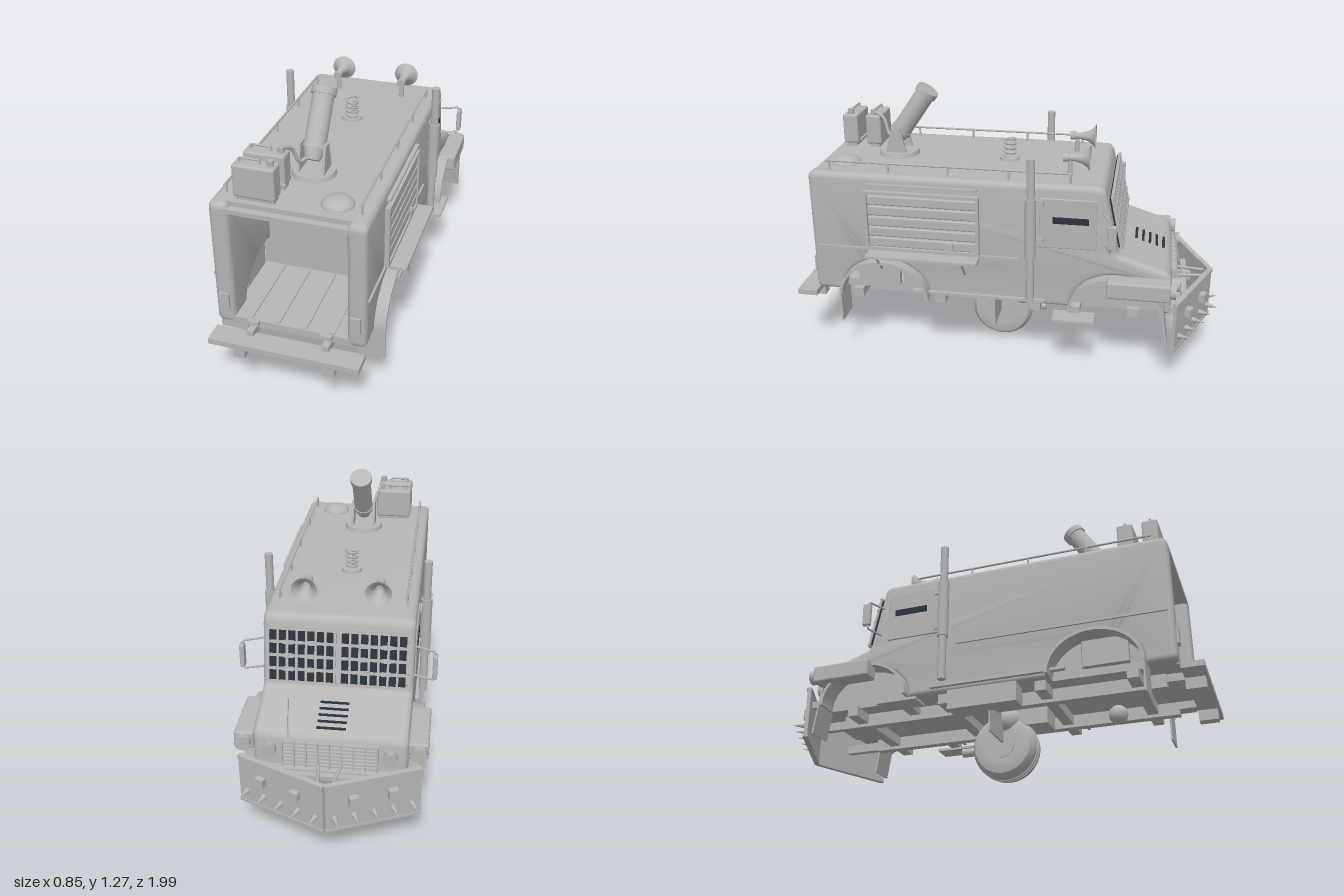
import * as THREE from 'three';
import { toCreasedNormals } from 'three/addons/utils/BufferGeometryUtils.js';
import { RoundedBoxGeometry } from 'three/addons/geometries/RoundedBoxGeometry.js';

export function createModel() {
  const root = new THREE.Group();
  const mat = (name, color) => Object.assign(new THREE.MeshStandardMaterial({ color }), { name });
  const grey = mat('greyPaint', 0xb5b5b5);
  const dark = mat('darkGlass', 0x2c333c);
  const open = mat('greySheet', 0xb5b5b5);
  open.side = THREE.DoubleSide;

  const add = (name, geo, m = grey, x = 0, y = 0, z = 0, parent = root) => {
    const mesh = new THREE.Mesh(geo, m);
    mesh.name = name;
    mesh.position.set(x, y, z);
    parent.add(mesh);
    return mesh;
  };
  // box given by its limits on each axis
  const box = (name, x0, x1, y0, y1, z0, z1, m = grey, r = 0, parent = root) => {
    const d = [Math.abs(x1 - x0), Math.abs(y1 - y0), Math.abs(z1 - z0)];
    const geo = r ? new RoundedBoxGeometry(...d, 2, r) : new THREE.BoxGeometry(...d);
    return add(name, geo, m, (x0 + x1) / 2, (y0 + y1) / 2, (z0 + z1) / 2, parent);
  };
  const cyl = (name, r0, r1, h, x, y, z, n = 20, parent = root) =>
    add(name, new THREE.CylinderGeometry(r0, r1, h, n), grey, x, y, z, parent);
  const rod = (name, pts, r = 0.006) => {
    const path = new THREE.CurvePath();
    const v = pts.map(p => new THREE.Vector3(...p));
    for (let i = 1; i < v.length; i++) path.add(new THREE.LineCurve3(v[i - 1], v[i]));
    return add(name, new THREE.TubeGeometry(path, (v.length - 1) * 6, r, 8), open);
  };
  const both = fn => [-1, 1].forEach(fn);
  // side outline drawn in (z, y), extruded along x from x0 to x1
  const slab = (name, shape, x0, x1, bevel = 0) => {
    const geo = new THREE.ExtrudeGeometry(shape, {
      depth: x1 - x0 - 2 * bevel, bevelEnabled: bevel > 0, bevelSize: bevel,
      bevelThickness: bevel, bevelOffset: -bevel, bevelSegments: 4, curveSegments: 20 });
    geo.translate(0, 0, x0 + bevel).rotateY(-Math.PI / 2).scale(-1, 1, -1);
    geo.rotateY(Math.PI).scale(-1, 1, -1).rotateY(Math.PI);
    return add(name, toCreasedNormals(geo, 0.6));
  };

  // ---- body: two arched side slabs joined by a core, open box at +z
  const AR = 0.205, ARCHES = [0.553, -0.52];
  const outline = arched => {
    const s = new THREE.Shape();
    s.moveTo(0.865, 0.335);
    s.quadraticCurveTo(0.893, 0.335, 0.893, 0.365);
    s.lineTo(0.893, 0.89);
    s.quadraticCurveTo(0.893, 0.922, 0.86, 0.922);
    s.lineTo(-0.42, 0.922);
    s.quadraticCurveTo(-0.452, 0.922, -0.46, 0.885);
    s.lineTo(-0.515, 0.63);
    s.quadraticCurveTo(-0.52, 0.607, -0.545, 0.6);
    s.lineTo(-0.72, 0.543);
    s.quadraticCurveTo(-0.762, 0.53, -0.765, 0.49);
    s.lineTo(-0.77, 0.335);
    if (arched) for (const c of [...ARCHES].reverse()) {
      s.lineTo(c - AR, 0.335);
      s.absellipse(c, 0.335, AR, 0.17, Math.PI, 0, true);
    }
    return s;
  };
  slab('bodySideLeft', outline(true), 0.245, 0.327, 0.024);
  slab('bodySideRight', outline(true), -0.327, -0.245, 0.024);
  const core = new THREE.Shape(outline(false).getPoints(8).map(p => new THREE.Vector2(Math.min(p.x, 0.48), p.y)));
  slab('bodyCore', core, -0.272, 0.272);
  box('rearRoof', -0.272, 0.272, 0.88, 0.922, 0.48, 0.862);
  box('rearRoofLip', -0.272, 0.272, 0.88, 0.9, 0.86, 0.893);
  box('cargoFloor', -0.272, 0.272, 0.335, 0.37, 0.48, 0.888);
  for (let i = 0; i < 4; i++) box('floorSlat', -0.19 + i * 0.12, -0.17 + i * 0.12, 0.37, 0.376, 0.49, 0.88);

  // ---- chassis
  both(s => {
    box('chassisRail', s * 0.15, s * 0.19, 0.275, 0.335, -0.7, 0.82);
    box('sideStep', s * 0.3, s * 0.395, 0.29, 0.302, -0.43, -0.24);
    box('stepHanger', s * 0.19, s * 0.32, 0.3, 0.335, -0.36, -0.31);
    box('sill', s * 0.32, s * 0.345, 0.355, 0.368, -0.2, 0.42);
    box('bumperHanger', s * 0.17, s * 0.22, 0.24, 0.3, 0.9, 0.985);
    box('bumperArm', s * 0.15, s * 0.18, 0.3, 0.34, 0.8, 0.93);
  });
  for (const z of [-0.6, -0.15, 0.3, 0.7]) box('crossMember', -0.3, 0.3, 0.29, 0.335, z - 0.025, z + 0.025);
  box('rearBumper', -0.327, 0.327, 0.29, 0.316, 0.9, 0.995);
  box('storageBox', -0.325, -0.24, 0.25, 0.34, -0.12, 0.2);
  box('centreFlap', -0.25, 0.25, 0.157, 0.335, 0.046, 0.054);

  // ---- centre wheel with grooved tread, housing above it
  const tyre = [[0.05, -0.07], [0.1, -0.075], [0.13, -0.066], [0.146, -0.045], [0.15, -0.02], [0.142, -0.016],
    [0.142, -0.008], [0.15, -0.005], [0.15, 0.005], [0.142, 0.008], [0.142, 0.016], [0.15, 0.02],
    [0.146, 0.045], [0.13, 0.066], [0.1, 0.075], [0.05, 0.07]].map(p => new THREE.Vector2(...p));
  add('wheel', toCreasedNormals(new THREE.LatheGeometry(tyre, 40), 0.6), open, 0, 0.15, 0.045).rotation.z = Math.PI / 2;
  cyl('wheelHub', 0.06, 0.06, 0.15, 0, 0.15, 0.045).rotation.z = Math.PI / 2;
  add('driveHousing', new THREE.SphereGeometry(0.1, 24, 14), grey, 0, 0.27, 0.06).scale.set(1.05, 0.75, 0.8);
  add('driveKnob', new THREE.SphereGeometry(0.045, 16, 10), grey, 0.06, 0.24, -0.06);
  cyl('driveShaft', 0.02, 0.02, 0.14, 0, 0.155, -0.1).rotation.x = Math.PI / 2;
  box('driveMount', -0.06, 0.06, 0.235, 0.335, 0.1, 0.26);
  add('tankDome', new THREE.SphereGeometry(0.045, 16, 10), grey, 0.1, 0.29, 0.55);

  // ---- arch flares and mud flaps
  both(s => {
    for (const c of ARCHES) {
      const sh = new THREE.Shape();
      sh.absellipse(0, 0, 0.214, 0.179, 0, Math.PI, false);
      sh.absellipse(0, 0, 0.2, 0.165, Math.PI, 0, true);
      const geo = new THREE.ExtrudeGeometry(sh, { depth: 0.06, bevelEnabled: false, curveSegments: 20 });
      geo.translate(0, 0, -0.03).rotateY(Math.PI / 2);
      add('archFlare', toCreasedNormals(geo, 0.6), grey, s * 0.345, 0.335, c);
    }
    box('rearMudFlap', s * 0.25, s * 0.375, 0.195, 0.34, 0.757, 0.765);
    box('frontMudFlap', s * 0.25, s * 0.375, 0.2, 0.42, -0.745, -0.737).rotation.x = 0.15;
    box('wellBox', s * 0.27, s * 0.3, 0.37, 0.49, 0.49, 0.69);
  });

  // ---- cab: windscreen with bars, louvres, grille, lamps
  const screen = new THREE.Group();
  screen.name = 'windscreen';
  screen.position.set(0, 0.752, -0.497);
  screen.rotation.set(0.22, Math.PI, 0, 'YXZ');
  screen.rotation.x = -0.215;
  root.add(screen);
  both(s => {
    box('glass', s * 0.012, s * 0.3, -0.115, 0.115, 0, 0.008, dark, 0, screen);
    for (let i = 0; i < 8; i++) {
      const x = s * (0.012 + i * 0.041);
      box('uprightBar', x - 0.005, x + 0.005, -0.122, 0.122, 0.008, 0.02, grey, 0, screen);
    }
    for (const x of [0.11, 0.21]) for (const y of [-0.06, 0, 0.06])
      box('armourTab', s * x - 0.02, s * x + 0.02, y - 0.008, y + 0.008, 0.008, 0.024, grey, 0, screen);
  });
  for (let i = 0; i < 5; i++) {
    const y = -0.12 + i * 0.06;
    box('crossBar', -0.306, 0.306, y - 0.005, y + 0.005, 0.008, 0.022, grey, 0, screen);
  }
  for (let i = 0; i < 5; i++) {
    const z = -0.595 - i * 0.032;
    box('hoodLouvre', -0.062, 0.062, -0.003, 0.003, -0.006, 0.006, dark).position.set(0, 0.5835 + (z + 0.595) * 0.326, z);
  }
  for (let i = 0; i < 7; i++) box('grilleSlat', -0.2, 0.2, 0.385 + i * 0.018, 0.393 + i * 0.018, -0.785, -0.76);
  for (let i = 0; i < 9; i++) box('grilleBar', -0.203 + i * 0.05, -0.197 + i * 0.05, 0.38, 0.505, -0.79, -0.765);
  box('frontBumper', -0.327, 0.327, 0.345, 0.375, -0.8, -0.765);
  rod('whipAerial', [[0.17, 0.53, -0.795], [0.17, 0.7, -0.755]], 0.003);
  both(s => {
    cyl('headlamp', 0.033, 0.028, 0.04, s * 0.255, 0.455, -0.785).rotation.x = -Math.PI / 2;
    box('wingBox', s * 0.325, s * 0.41, 0.436, 0.516, -0.76, -0.48, grey, 0.01);
    cyl('wingLamp', 0.034, 0.034, 0.03, s * 0.37, 0.476, -0.77).rotation.x = Math.PI / 2;
    // side doors and mirrors
    box('door', s * 0.32, s * 0.333, 0.63, 0.865, -0.425, -0.17, grey, 0.004);
    box('doorSlit', s * 0.33, s * 0.337, 0.75, 0.78, -0.39, -0.23, dark);
    for (const y of [0.66, 0.84]) box('doorHinge', s * 0.33, s * 0.342, y - 0.015, y + 0.015, -0.19, -0.16);
    box('mirror', s * 0.405, s * 0.426, 0.68, 0.79, -0.515, -0.475, grey, 0.006);
    rod('mirrorArm', [[s * 0.32, 0.665, -0.46], [s * 0.415, 0.665, -0.49], [s * 0.415, 0.803, -0.49], [s * 0.32, 0.803, -0.45]], 0.005);
    // exhaust stacks
    cyl('exhaustPipe', 0.0185, 0.0185, 0.675, s * 0.36, 0.717, -0.135);
    cyl('exhaustMuffler', 0.025, 0.025, 0.28, s * 0.36, 0.73, -0.135);
    // roof rails, rear lamps
    rod('roofRail', [[s * 0.28, 0.965, -0.31], [s * 0.28, 0.965, 0.82]], 0.005);
    for (let i = 0; i < 5; i++) rod('railPost', [[s * 0.28, 0.91, -0.3 + i * 0.275], [s * 0.28, 0.965, -0.3 + i * 0.275]], 0.005);
    box('rearLamp', s * 0.262, s * 0.305, 0.415, 0.49, 0.89, 0.903);
    box('rearHinge', s * 0.135, s * 0.185, 0.355, 0.375, 0.885, 0.91);
    box('trimStrip', s * 0.322, s * 0.336, 0.558, 0.568, -0.08, 0.87);
  });

  // ---- serving shutter and folding shelf on the left side
  for (const [y0, y1, z0, z1] of [[0.565, 0.58, 0.1, 0.63], [0.838, 0.852, 0.1, 0.63], [0.565, 0.852, 0.1, 0.115], [0.565, 0.852, 0.615, 0.63]])
    box('shutterFrame', 0.32, 0.348, y0, y1, z0, z1);
  for (let i = 0; i < 5; i++) box('shutterSlat', 0.32, 0.342, 0.582 + i * 0.051, 0.626 + i * 0.051, 0.115, 0.615, grey, 0.006);
  box('shutterHandle', 0.335, 0.352, 0.585, 0.62, 0.22, 0.25);
  box('shutterHood', 0.32, 0.345, 0.876, 0.886, 0.11, 0.61);
  box('shelf', 0.327, 0.42, 0.552, 0.564, 0.1, 0.615);
  for (const z of [0.17, 0.565]) rod('shelfStrut', [[0.33, 0.465, z], [0.41, 0.555, z]], 0.005);

  // ---- roof cannon
  cyl('cannonBase', 0.09, 0.097, 0.025, 0, 0.93, 0.55, 32);
  both(s => {
    const tri = new THREE.Shape([[0.6, 0.94], [0.57, 1.06], [0.53, 1.06], [0.5, 0.94]].map(p => new THREE.Vector2(...p)));
    const geo = new THREE.ExtrudeGeometry(tri, { depth: 0.012, bevelEnabled: false }).rotateY(-Math.PI / 2);
    add('cannonBracket', geo, open, s * 0.054 + 0.006, 0, 0);
  });
  const cannon = new THREE.Group();
  cannon.name = 'cannon';
  cannon.position.set(0, 1.24, 0.398);
  cannon.rotation.x = -0.6;
  root.add(cannon);
  cyl('barrel', 0.046, 0.046, 0.25, 0, -0.125, 0, 28, cannon);
  cyl('muzzleRing', 0.053, 0.053, 0.03, 0, -0.015, 0, 28, cannon);
  cyl('breechRing', 0.05, 0.05, 0.02, 0, -0.245, 0, 28, cannon);
  cyl('breech', 0.046, 0.032, 0.05, 0, -0.278, 0, 28, cannon);

  // ---- fuel cans, hose, dome
  for (const z of [0.812, 0.697]) {
    box('fuelCan', -0.233, -0.058, 0.937, 1.08, z - 0.037, z + 0.037, grey, 0.01);
    rod('canHandle', [[-0.21, 1.075, z], [-0.21, 1.097, z], [-0.125, 1.097, z], [-0.125, 1.075, z]], 0.005);
    cyl('canCap', 0.014, 0.014, 0.03, -0.082, 1.09, z);
    box('canFoot', -0.225, -0.065, 0.92, 0.94, z - 0.025, z + 0.025);
  }
  box('canStrap', -0.24, -0.045, 0.96, 0.97, 0.75, 0.76);
  const hose = new THREE.CatmullRomCurve3([[-0.08, 1.1, 0.697], [-0.06, 1.07, 0.64], [-0.04, 1, 0.61], [-0.01, 1.01, 0.56]].map(p => new THREE.Vector3(...p)));
  add('hose', new THREE.TubeGeometry(hose, 20, 0.008, 8), open);
  add('roofDome', new THREE.SphereGeometry(0.068, 28, 10, 0, 2 * Math.PI, 0, Math.PI / 2), grey, 0.17, 0.92, 0.757).scale.y = 0.55;

  // ---- spring aerial mount and horns
  cyl('springBase', 0.045, 0.048, 0.015, 0, 0.927, 0.015, 24);
  const coil = [];
  for (let i = 0; i <= 48; i++) {
    const a = i * Math.PI / 6;
    coil.push(new THREE.Vector3(Math.cos(a) * 0.025, 0.935 + i * 0.0019, 0.015 + Math.sin(a) * 0.025));
  }
  add('spring', new THREE.TubeGeometry(new THREE.CatmullRomCurve3(coil), 110, 0.006, 7), open);
  both(s => {
    const bell = [[0.013, 0], [0.016, 0.04], [0.024, 0.075], [0.04, 0.1], [0.058, 0.112]].map(p => new THREE.Vector2(...p));
    add('horn', new THREE.LatheGeometry(bell, 28), open, s * 0.16, 1, -0.262).rotation.x = -Math.PI / 2;
    cyl('hornBack', 0.02, 0.02, 0.025, s * 0.16, 1, -0.265).rotation.x = Math.PI / 2;
    cyl('hornStand', 0.009, 0.012, 0.09, s * 0.16, 0.955, -0.285);
  });

  // ---- spiked ram
  both(s => {
    const ram = new THREE.Group();
    ram.name = 'ramBlade';
    ram.position.set(s * 0.193, 0.305, -0.868);
    ram.rotation.y = Math.PI + s * -0.405;
    root.add(ram);
    box('blade', -0.208, 0.208, -0.115, 0.115, -0.008, 0.008, grey, 0, ram);
    for (const y of [-0.115, 0.112]) box('bladeEdge', -0.21, 0.21, y - 0.006, y + 0.006, -0.012, 0.012, grey, 0, ram);
    for (let i = 0; i < 5; i++)
      cyl('spike', 0, 0.014, 0.065, -0.17 + i * 0.085, -0.055, 0.038, 10, ram).rotation.x = Math.PI / 2;
    for (const x of [-0.09, 0.08]) box('bladeBlock', x - 0.02, x + 0.02, 0.01, 0.05, 0.005, 0.035, grey, 0, ram);
    box('ramArm', s * 0.15, s * 0.18, 0.28, 0.32, -0.87, -0.68);
    rod('ramBrace', [[s * 0.03, 0.4, -0.92], [s * 0.05, 0.4, -0.77]], 0.007);
  });
  box('ramCrossbar', -0.18, 0.18, 0.36, 0.38, -0.84, -0.815);

  return root;
}
